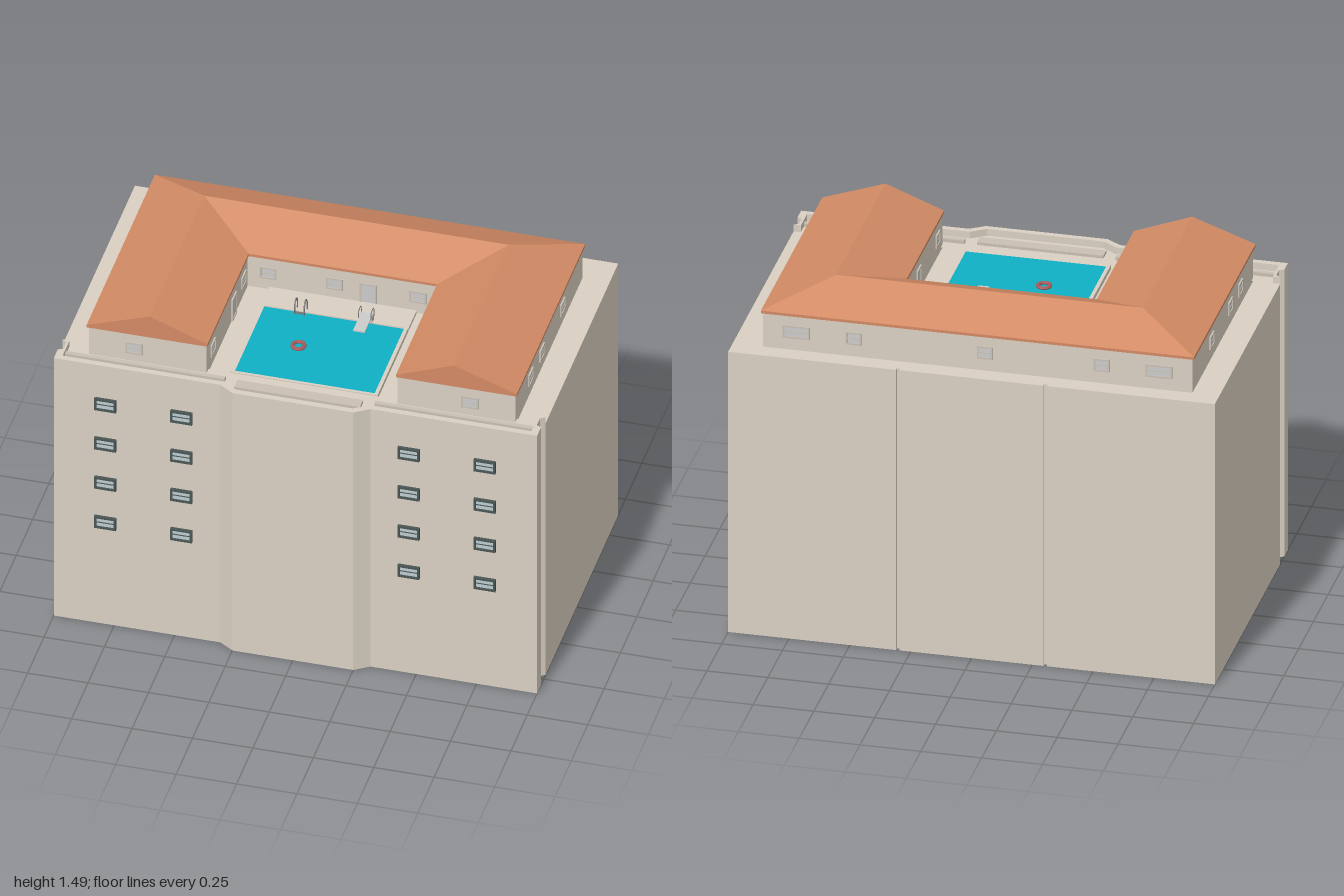
import * as THREE from 'three';

const mat = (color, side = THREE.FrontSide) => new THREE.MeshStandardMaterial({ color, side, flatShading: true });
const wallMat = mat(0xd9d0c2), roofMat = mat(0xd28a64), waterMat = mat(0x10b0c4);
const frameMat = mat(0x4a5654), glassMat = mat(0xbccbd0);
const trimMat = mat(0xc9c0b2), paneMat = mat(0xf2f2f0), metalMat = mat(0x777777), ringMat = mat(0xa85a58);

const FLOOR = 1.235, RIM = 1.25, PARAPET = 1.28;

function add(parent, name, geometry, material, x = 0, y = 0, z = 0) {
  const mesh = new THREE.Mesh(geometry, material);
  mesh.name = name;
  mesh.position.set(x, y, z);
  parent.add(mesh);
  return mesh;
}

function box(parent, name, w, h, d, material, x, y, z) {
  return add(parent, name, new THREE.BoxGeometry(w, h, d), material, x, y, z);
}

// Vertical prism over a plan outline of [x, z] points, with an optional hole
function prism(parent, name, outline, y0, y1, material, hole) {
  const toV = ([x, z]) => new THREE.Vector2(x, -z);
  const shape = new THREE.Shape(outline.map(toV));
  if (hole) shape.holes.push(new THREE.Path(hole.map(toV)));
  const geo = new THREE.ExtrudeGeometry(shape, { depth: y1 - y0, bevelEnabled: false });
  geo.rotateX(-Math.PI / 2);
  return add(parent, name, geo, material, 0, y0, 0);
}

// Right half outline plus its mirror image, closed into one loop
const mirrored = (half) => [...half, ...half.slice().reverse().map(([x, z]) => [-x, z])];
const rect = (x, z0, z1) => [[x, z0], [x, z1], [-x, z1], [-x, z0]];

// Framed window or door that faces +z before it is turned
function opening(parent, name, x, y, z, turn, w, h, opts = {}) {
  const { frame = trimMat, pane = paneMat, bar = 0.007, depth = 0.012, mullion = true } = opts;
  const g = new THREE.Group();
  g.name = name;
  g.position.set(x, y, z);
  g.rotation.y = turn;
  for (const s of [-1, 1]) {
    box(g, 'frameSide', bar, h, depth, frame, s * (w - bar) / 2, 0, 0);
    box(g, 'frameRail', w - 2 * bar, bar, depth, frame, 0, s * (h - bar) / 2, 0);
  }
  if (mullion) box(g, 'crossBar', w - 2 * bar, 0.003, depth * 0.7, frame, 0, 0, 0);
  box(g, 'pane', w - 2 * bar, h - 2 * bar, depth * 0.4, pane, 0, 0, 0);
  parent.add(g);
}

function buildBlock(root) {
  const g = new THREE.Group();
  g.name = 'mainBlock';
  root.add(g);

  // Plan with central front bay, side grooves and back grooves
  const front = [[1, 0.47], [0.98, 0.485], [0.98, 0.53], [1, 0.54], [1, 0.6], [0.31, 0.6], [0.25, 0.64]];
  const half = [[0.295, -0.64], [0.295, -0.625], [0.31, -0.625], [0.31, -0.64], [1, -0.64], ...front];
  const plan = mirrored(half);
  prism(g, 'body', plan, 0, FLOOR, wallMat);
  prism(g, 'roofEdge', plan, FLOOR, RIM, wallMat, rect(0.97, -0.62, 0.47));

  // Front parapet with a sunken channel behind each stretch
  const inner = [[0.97, 0.47], [0.97, 0.575], [0.3, 0.575], [0.24, 0.615]];
  const loop = [...mirrored(front), ...mirrored(inner).reverse()];
  prism(g, 'frontParapet', loop, RIM, PARAPET, wallMat);
  for (const s of [-1, 1]) box(g, 'parapetStep', 0.66, 0.015, 0.02, trimMat, s * 0.64, RIM + 0.0075, 0.53);
  box(g, 'bayStep', 0.52, 0.012, 0.05, trimMat, 0, RIM + 0.006, 0.55);

  // Four rows of facade windows
  for (const x of [-0.785, -0.47, 0.47, 0.785])
    for (let i = 0; i < 4; i++)
      opening(g, 'facadeWindow', x, 0.507 + i * 0.195, 0.603, 0, 0.09, 0.057,
        { frame: frameMat, pane: glassMat, bar: 0.009, depth: 0.02 });
}

function buildRoof(parent) {
  // U-shaped gable roof: one section at each end and each mitred corner
  const low = 1.386, eave = 1.398, top = 1.49;
  const section = (s, zo, zr, zi) => [
    [s * 0.89, low, zo], [s * 0.89, eave, zo], [s * 0.63, top, zr], [s * 0.39, eave, zi], [s * 0.39, low, zi],
  ];
  const rings = [
    section(-1, 0.505, 0.505, 0.505), section(-1, -0.54, -0.335, -0.125),
    section(1, -0.54, -0.335, -0.125), section(1, 0.505, 0.505, 0.505),
  ];
  const pos = [];
  const tri = (a, b, c) => pos.push(...a, ...b, ...c);
  for (let i = 0; i < 3; i++)
    for (let j = 0; j < 5; j++) {
      const k = (j + 1) % 5, [p, q] = [rings[i], rings[i + 1]];
      tri(p[j], p[k], q[k]);
      tri(p[j], q[k], q[j]);
    }
  for (let j = 1; j < 4; j++) {
    tri(rings[0][0], rings[0][j + 1], rings[0][j]);
    tri(rings[3][0], rings[3][j], rings[3][j + 1]);
  }
  const geo = new THREE.BufferGeometry();
  geo.setAttribute('position', new THREE.Float32BufferAttribute(pos, 3));
  geo.computeVertexNormals();
  add(parent, 'tiledRoof', geo, roofMat);
}

function buildPenthouse(root) {
  const g = new THREE.Group();
  g.name = 'penthouse';
  root.add(g);

  const plan = mirrored([[0.395, -0.13], [0.395, 0.497], [0.882, 0.497], [0.882, -0.533]]);
  prism(g, 'walls', plan, FLOOR, 1.39, wallMat);
  buildRoof(g);

  const y = 1.316, w = 0.065, h = 0.055, doorY = 1.29, doorH = 0.105;
  // Wing ends, outer sides and courtyard sides
  for (const s of [-1, 1]) {
    opening(g, 'endWindow', s * 0.695, y, 0.498, 0, 0.07, h);
    for (const z of [0.27, 0.1, -0.215]) opening(g, 'sideWindow', s * 0.883, y, z, s * Math.PI / 2, w, h);
    for (const z of [0.41, -0.06]) opening(g, 'courtWindow', s * 0.394, y, z, -s * Math.PI / 2, w, h);
    opening(g, 'courtDoor', s * 0.394, doorY, 0.09, -s * Math.PI / 2, 0.065, doorH, { mullion: false });
    opening(g, 'courtBackWindow', s * 0.31, y, -0.129, 0, 0.07, h);
    opening(g, 'wideBackWindow', s * 0.745, y, -0.534, Math.PI, 0.11, h);
    opening(g, 'backWindow', s * 0.51, y, -0.534, Math.PI, w, h);
  }
  // Centre of the back wing
  opening(g, 'courtCentreWindow', -0.035, y, -0.129, 0, 0.07, h);
  opening(g, 'courtBackDoor', 0.105, doorY, -0.129, 0, 0.07, doorH, { mullion: false });
  opening(g, 'backCentreWindow', -0.03, y, -0.534, Math.PI, w, h);
}

function buildPool(root) {
  const g = new THREE.Group();
  g.name = 'pool';
  root.add(g);

  prism(g, 'poolEdge', rect(0.305, -0.005, 0.472), FLOOR, 1.255, wallMat, rect(0.29, 0.006, 0.46));
  box(g, 'water', 0.58, 0.014, 0.454, waterMat, 0, FLOOR + 0.007, 0.233);
  box(g, 'poolTerrace', 0.61, 0.015, 0.12, wallMat, 0, FLOOR + 0.0075, -0.066);

  // Pair of bent ladder rails
  for (const x of [-0.16, -0.12]) {
    const path = new THREE.CatmullRomCurve3([[1.245, -0.022], [1.29, -0.02], [1.31, 0], [1.29, 0.02], [1.24, 0.022]]
      .map(([y, z]) => new THREE.Vector3(x, y, z)));
    add(g, 'ladderRail', new THREE.TubeGeometry(path, 14, 0.003, 6), metalMat);
  }
  box(g, 'ladderStep', 0.04, 0.004, 0.01, metalMat, -0.14, 1.256, 0.02);

  // Diving board on its stand
  box(g, 'divingBoard', 0.048, 0.006, 0.13, paneMat, 0.13, 1.28, 0.045);
  box(g, 'boardStand', 0.05, 0.04, 0.025, trimMat, 0.13, 1.257, -0.008);
  for (const s of [-1, 1]) {
    const path = new THREE.CatmullRomCurve3([[1.25, -0.02], [1.31, -0.018], [1.31, 0.018], [1.28, 0.022]]
      .map(([y, z]) => new THREE.Vector3(0.13 + s * 0.026, y, z)));
    add(g, 'boardRail', new THREE.TubeGeometry(path, 12, 0.002, 6), metalMat);
  }

  // Floating swim ring
  const ring = new THREE.TorusGeometry(0.025, 0.008, 8, 24).rotateX(Math.PI / 2);
  add(g, 'swimRing', ring, ringMat, -0.088, 1.253, 0.228);
}

export function createModel() {
  const root = new THREE.Group();
  root.name = 'apartmentBuilding';
  buildBlock(root);
  buildPenthouse(root);
  buildPool(root);
  return root;
}
